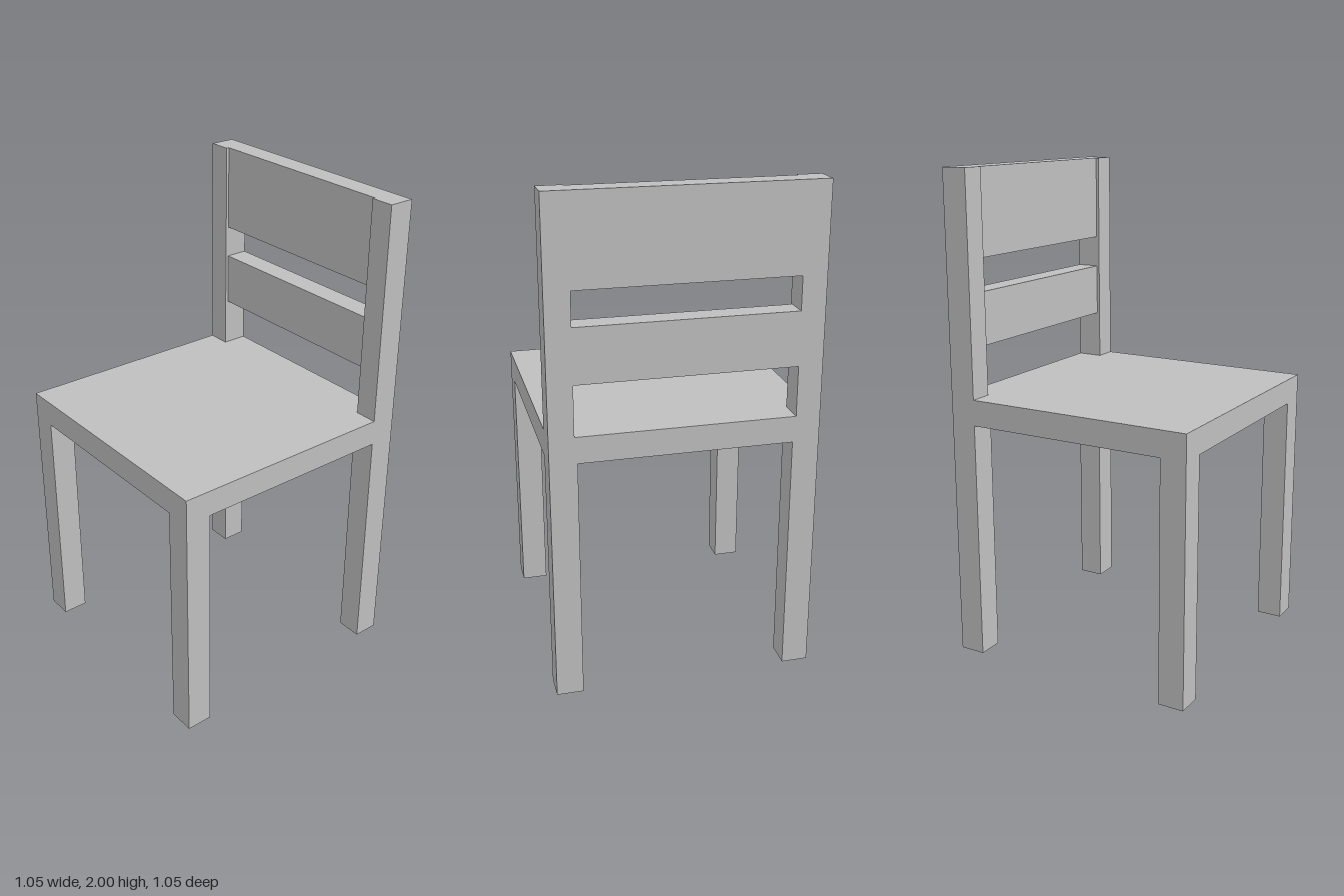
import * as THREE from 'three';

export function createModel() {
  const chair = new THREE.Group();
  chair.name = 'chair';
  const grey = new THREE.MeshStandardMaterial({ color: 0xbfbfbf });
  grey.name = 'light grey';

  const half = 0.527;          // half the seat width and depth
  const seatLow = 0.993, seatTop = 1.099, top = 2;
  const leg = 0.107, postWidth = 0.097, slatDepth = 0.095;

  // Box given by its lower and upper corners
  function box(name, [x0, y0, z0], [x1, y1, z1]) {
    const geometry = new THREE.BoxGeometry(x1 - x0, y1 - y0, z1 - z0);
    const mesh = new THREE.Mesh(geometry, grey);
    mesh.position.set((x0 + x1) / 2, (y0 + y1) / 2, (z0 + z1) / 2);
    mesh.name = name;
    chair.add(mesh);
  }

  // Seat
  box('seat', [-half, seatLow, -half], [half, seatTop, half]);

  // Legs and back posts, mirrored left and right
  for (const [side, x0, px0] of [
    ['left', half - leg, half - postWidth],
    ['right', -half, -half],
  ]) {
    box(`${side}FrontLeg`, [x0, 0, half - leg], [x0 + leg, seatLow, half]);
    box(`${side}BackLeg`, [x0, 0, -half], [x0 + leg, seatLow, -half + leg]);
    box(`${side}BackPost`, [px0, seatTop, -half], [px0 + postWidth, top, -half + leg]);
  }

  // Back slats, flush with the posts behind and slightly recessed in front
  const inner = half - postWidth;
  for (const [name, y0, y1] of [['lowerSlat', 1.3, 1.517], ['upperSlat', 1.65, top]]) {
    box(name, [-inner, y0, -half], [inner, y1, -half + slatDepth]);
  }

  return chair;
}
